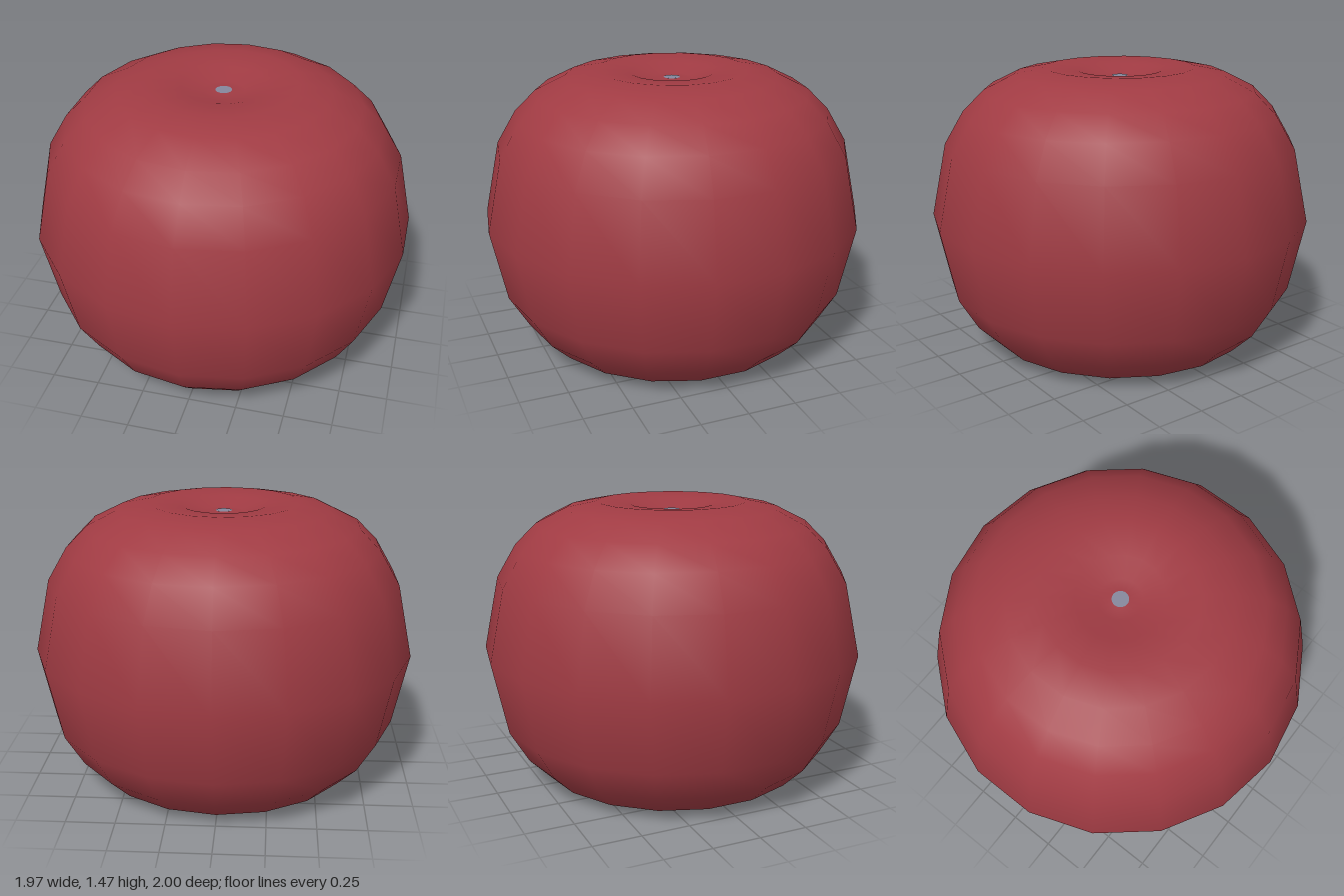
import * as THREE from 'three';

export function createModel() {
  const model = new THREE.Group();
  const SIDES = 18;
  const red = new THREE.MeshStandardMaterial({ color: 0xa03b43 });
  red.name = 'red skin';
  const grey = new THREE.MeshStandardMaterial({ color: 0x85879c });
  grey.name = 'blue grey';

  // Rounded body with a hollow underside and a dimpled top (radius, height)
  const profile = [
    [0.26, 0.044], [0.4, 0.015], [0.55, 0], [0.71, 0.04], [0.82, 0.15], [0.92, 0.32],
    [1, 0.7],
    [0.92, 1.08], [0.82, 1.25], [0.71, 1.36], [0.55, 1.44], [0.39, 1.472],
    [0.22, 1.455], [0.11, 1.42], [0.04, 1.425],
  ].map(([r, y]) => new THREE.Vector2(r, y));
  const body = new THREE.Mesh(new THREE.LatheGeometry(profile, SIDES), red);
  body.name = 'body';
  model.add(body);

  // Flat discs closing the two ends
  const addDisc = (name, radius, y, tilt) => {
    const disc = new THREE.Mesh(new THREE.CircleGeometry(radius, 36), grey);
    disc.name = name;
    disc.rotation.x = tilt;
    disc.position.y = y;
    model.add(disc);
  };
  addDisc('topDisc', 0.042, 1.426, -Math.PI / 2);
  addDisc('bottomDisc', 0.262, 0.043, Math.PI / 2);

  return model;
}
